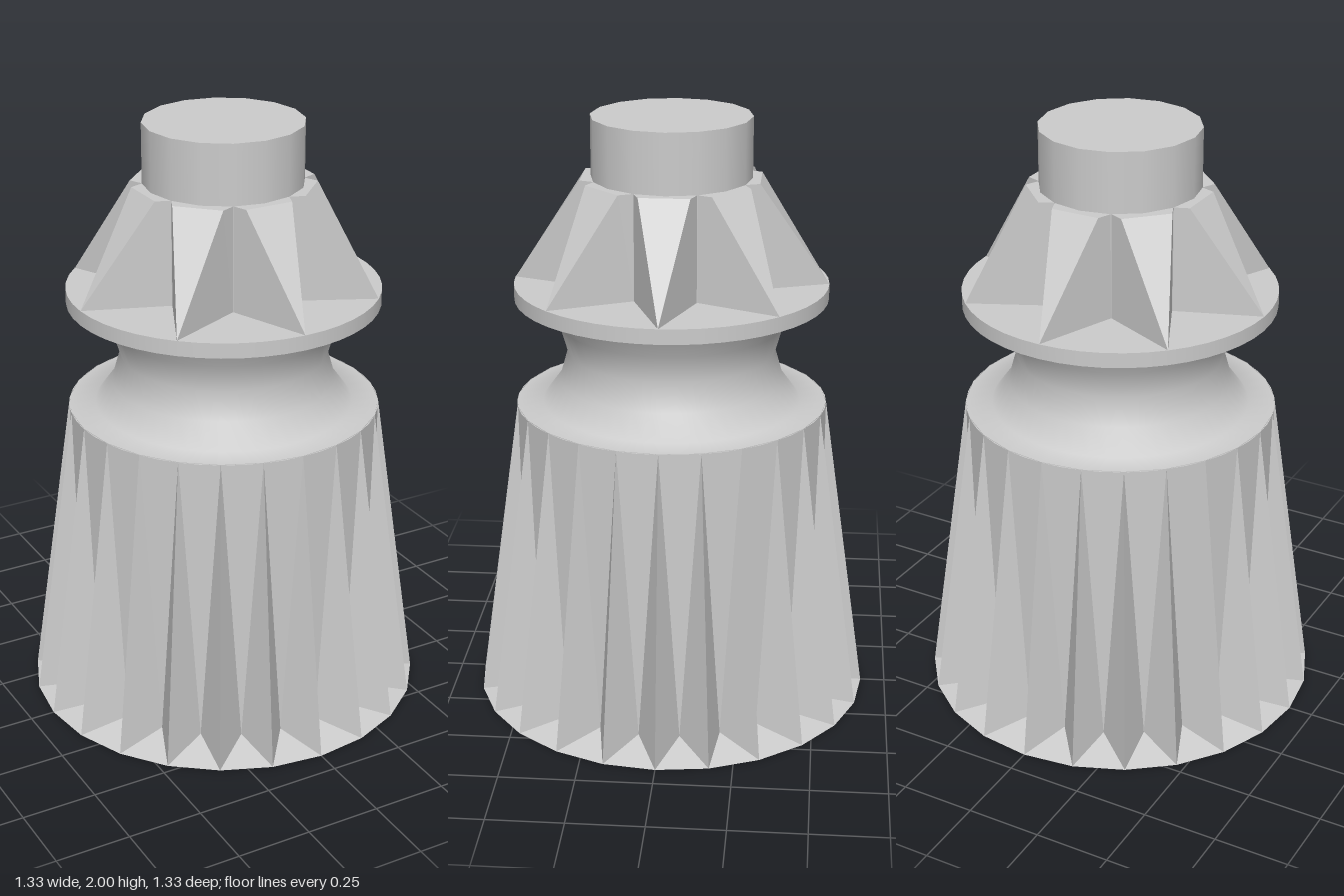
import * as THREE from 'three';

const smooth = new THREE.MeshStandardMaterial({ color: 0xcccccc, side: THREE.DoubleSide });
const faceted = new THREE.MeshStandardMaterial({ color: 0xcccccc, side: THREE.DoubleSide, flatShading: true });

// point at angle a (from +z towards +x), radius r and height y
const polar = (a, r, y) => [r * Math.sin(a), y, r * Math.cos(a)];

function facets(triangles) {
  const g = new THREE.BufferGeometry();
  g.setAttribute('position', new THREE.Float32BufferAttribute(triangles.flat(2), 3));
  g.computeVertexNormals();
  return g;
}

function addMesh(parent, name, geometry, material, y = 0) {
  const m = new THREE.Mesh(geometry, material);
  m.name = name;
  m.position.y = y;
  parent.add(m);
  return m;
}

// Hollow skirt: 24 pointed flutes flaring out towards the open bottom
function skirtGeometry() {
  const n = 24, step = (Math.PI * 2) / n, tris = [];
  for (let i = 0; i < n; i++) {
    const a = i * step;
    const tip = polar(a, 0.667, 0), nextTip = polar(a + step, 0.667, 0);
    const top = polar(a, 0.518, 1.04), nextTop = polar(a + step, 0.518, 1.04);
    const before = polar(a - step / 2, 0.518, 0.04), after = polar(a + step / 2, 0.518, 0.04);
    tris.push([before, tip, top], [tip, after, top]); // flute sides
    tris.push([after, nextTop, top]); // wall between flutes
    tris.push([tip, nextTip, after]); // web at the bottom
  }
  return facets(tris);
}

// Crown fin: upright triangular prism with its point cut off by a slope
function finGeometry() {
  const lo = 1.45, hi = 1.8;
  const tip = [0, lo, 0.517];
  const [aL, aH, cH] = [[-0.1, lo, 0.242], [-0.1, hi, 0.242], [-0.082, hi, 0.29]];
  const flip = ([x, y, z]) => [-x, y, z];
  const [bL, bH, dH] = [aL, aH, cH].map(flip);
  return facets([
    [cH, tip, dH], // slope
    [aL, tip, cH], [aL, cH, aH], // left side
    [tip, bL, dH], [bL, bH, dH], // right side
    [aH, cH, dH], [aH, dH, bH], // top
  ]);
}

export function createModel() {
  const model = new THREE.Group();
  model.name = 'flutedCap';

  addMesh(model, 'flutedSkirt', skirtGeometry(), faceted);

  // Waisted neck with a flat shoulder
  const neck = [[0.518, 1.038], [0.43, 1.042], [0.372, 1.12], [0.345, 1.215], [0.372, 1.31], [0.425, 1.4]]
    .map(([r, y]) => new THREE.Vector2(r, y));
  addMesh(model, 'neck', new THREE.LatheGeometry(neck, 48), smooth);

  // Collar disc, crown fins and top post
  addMesh(model, 'collar', new THREE.CylinderGeometry(0.518, 0.518, 0.05, 48), smooth, 1.425);

  const crown = new THREE.Group();
  crown.name = 'crown';
  const fin = finGeometry();
  for (let i = 0; i < 8; i++) {
    addMesh(crown, 'crownFin', fin, faceted).rotation.y = (i * Math.PI) / 4;
  }
  model.add(crown);

  addMesh(model, 'topPost', new THREE.CylinderGeometry(0.263, 0.263, 0.55, 16), smooth, 1.725);
  return model;
}
